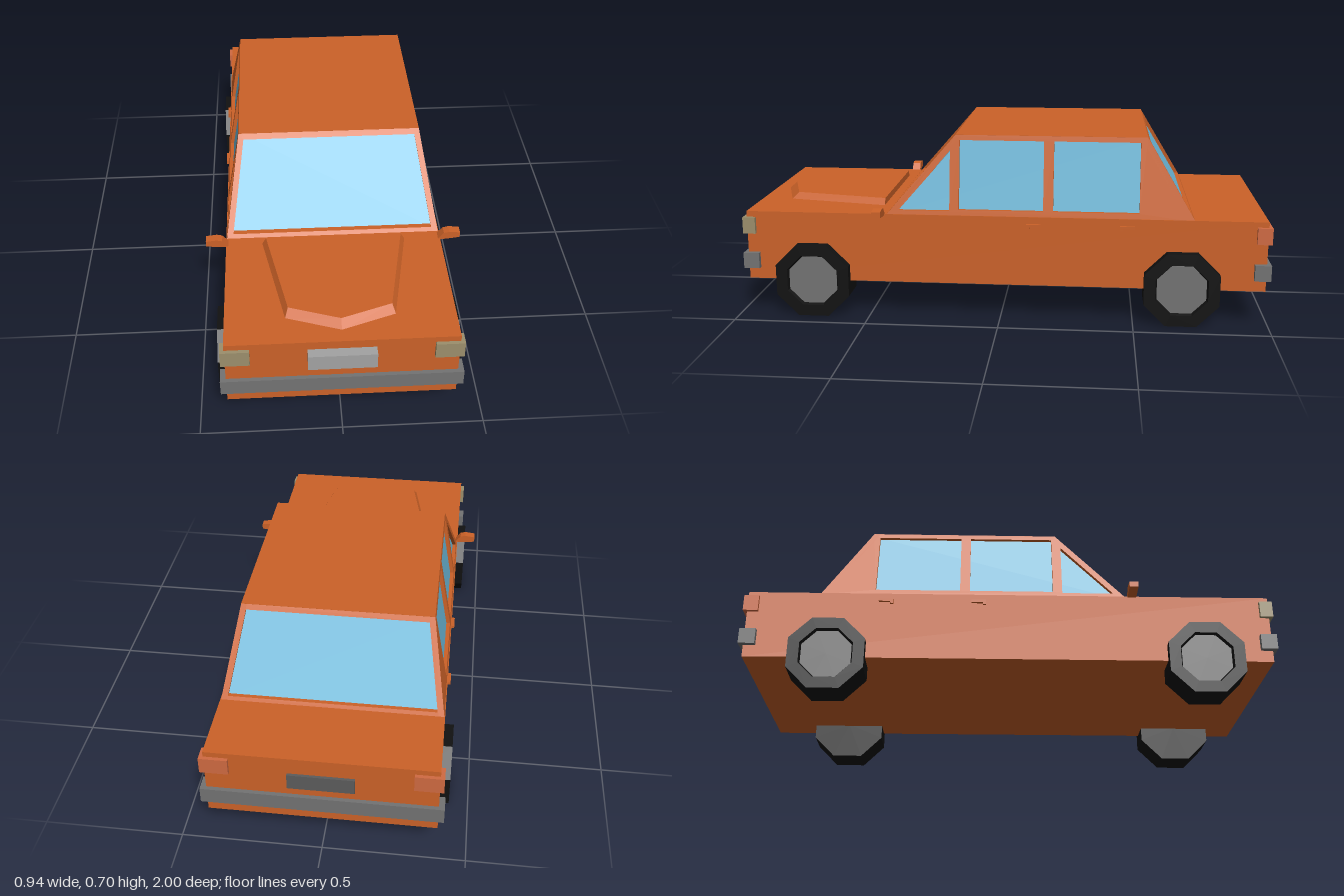
import * as THREE from 'three';

const mat = (color) => new THREE.MeshStandardMaterial({ color, flatShading: true });

export function createModel() {
  const car = new THREE.Group();
  car.name = 'car';
  const paint = mat(0xcc6228), glass = mat(0x6cb8d8), rubber = mat(0x111111), metal = mat(0x737373);
  const lampMat = mat(0x9c8f6c), plateMat = mat(0xa3a3a3), darkPlate = mat(0x5c5c5c), tailMat = mat(0xd06a42);
  glass.side = THREE.DoubleSide;

  const add = (name, geometry, material) => {
    const mesh = new THREE.Mesh(geometry, material);
    mesh.name = name;
    car.add(mesh);
    return mesh;
  };
  // Box given by its minimum and maximum corners
  const box = (name, x0, x1, y0, y1, z0, z1, material) =>
    add(name, new THREE.BoxGeometry(Math.abs(x1 - x0), y1 - y0, z1 - z0), material)
      .position.set((x0 + x1) / 2, (y0 + y1) / 2, (z0 + z1) / 2);

  const points = (list) => list.map(([x, y]) => new THREE.Vector2(x, y));
  const mirrored = (half) => [...half, ...half.map(([x, y]) => [-x, y]).reverse()];

  // Extruded outline with holes, placed by a (possibly shearing or mirroring) matrix
  const panel = (name, outline, holes, from, to, matrix, material) => {
    const shape = new THREE.Shape(points(outline));
    for (const hole of holes) shape.holes.push(new THREE.Path(points(hole)));
    const g = new THREE.ExtrudeGeometry(shape, { depth: to - from, bevelEnabled: false });
    g.translate(0, 0, from).applyMatrix4(matrix);
    if (matrix.determinant() < 0) {
      const p = g.attributes.position, a = new THREE.Vector3(), b = new THREE.Vector3();
      for (let i = 0; i < p.count; i += 3) {
        a.fromBufferAttribute(p, i + 1);
        b.fromBufferAttribute(p, i + 2);
        p.setXYZ(i + 1, b.x, b.y, b.z);
        p.setXYZ(i + 2, a.x, a.y, a.z);
      }
    }
    g.computeVertexNormals();
    return add(name, g, material);
  };

  // Lower body
  box('body', -0.397, 0.397, 0.135, 0.4, -0.985, 0.965, paint);

  // Cabin: sheared frames whose depth runs inward
  const y0 = 0.395, y1 = 0.695, h = y1 - y0;
  const sideLean = (0.395 - 0.34) / h, frontLean = 0.26 / h, rearLean = 0.18 / h;
  const sideMatrix = (s) => new THREE.Matrix4().set(
    0, -s * sideLean, -s, s * (0.395 + sideLean * y0),
    0, 1, 0, 0,
    1, 0, 0, 0,
    0, 0, 0, 1);
  const endMatrix = (z, lean, dir) => new THREE.Matrix4().set(
    1, 0, 0, 0,
    0, 1, 0, 0,
    0, -dir * lean, -dir, z + dir * lean * y0,
    0, 0, 0, 1);

  const sideOutline = [[0.43, y0], [0.17, y1], [-0.54, y1], [-0.72, y0]];
  const sideHoles = [
    [[0.408, 0.415], [0.19, 0.415], [0.19, 0.655]],
    [[0.155, 0.42], [-0.16, 0.42], [-0.16, 0.676], [0.155, 0.676]],
    [[-0.197, 0.42], [-0.515, 0.42], [-0.515, 0.676], [-0.197, 0.676]],
  ];
  const sideGlass = [[0.395, 0.4], [0.145, 0.685], [-0.52, 0.685], [-0.685, 0.4]];
  for (const s of [-1, 1]) {
    const side = s > 0 ? 'left' : 'right';
    panel(side + 'CabinSide', sideOutline, sideHoles, 0, 0.02, sideMatrix(s), paint);
    panel(side + 'SideWindows', sideGlass, [], 0.014, 0.018, sideMatrix(s), glass);
  }

  const endOutline = mirrored([[0.395, y0], [0.34, y1]]);
  const endHole = mirrored([[0.37, 0.412], [0.322, 0.678]]);
  const endGlass = mirrored([[0.38, 0.4], [0.328, 0.686]]);
  const front = endMatrix(0.43, frontLean, 1), rear = endMatrix(-0.72, rearLean, -1);
  panel('windscreenFrame', endOutline, [endHole], 0, 0.03, front, paint);
  panel('windscreen', endGlass, [], 0.02, 0.025, front, glass);
  panel('rearWindowFrame', endOutline, [endHole], 0, 0.025, rear, paint);
  panel('rearWindow', endGlass, [], 0.015, 0.02, rear, glass);
  box('roof', -0.34, 0.34, 0.682, 0.6955, -0.54, 0.17, paint);

  // Raised bonnet panel, its top narrowed toward the windscreen
  const flat = new THREE.Matrix4().set(
    1, 0, 0, 0,
    0, 0, 1, 0,
    0, 1, 0, 0,
    0, 0, 0, 1);
  const bonnet = panel('bonnetPanel', mirrored([[0.265, 0.46], [0.19, 0.85], [0, 0.915]].slice(0, 2))
    .toSpliced(2, 0, [0, 0.915]), [], 0.398, 0.425, flat, paint);
  const bp = bonnet.geometry.attributes.position;
  for (let i = 0; i < bp.count; i++) {
    if (bp.getY(i) > 0.42) bp.setXYZ(i, bp.getX(i) * 0.94, bp.getY(i), 0.46 + (bp.getZ(i) - 0.46) * 0.93);
  }
  bonnet.geometry.computeVertexNormals();

  // Wheels: eight-sided tyre with a recessed hub
  const tyreProfile = points([[0, -0.0625], [0.151, -0.0625], [0.151, 0.0625], [0.105, 0.0625], [0.098, 0.045]]);
  for (const s of [-1, 1]) {
    for (const [end, z] of [['front', 0.713], ['rear', -0.677]]) {
      const wheel = new THREE.Group();
      wheel.name = end + (s > 0 ? 'Left' : 'Right') + 'Wheel';
      const tyre = new THREE.Mesh(new THREE.LatheGeometry(tyreProfile, 8, Math.PI / 8), rubber);
      tyre.name = 'tyre';
      const hub = new THREE.Mesh(new THREE.CylinderGeometry(0.099, 0.099, 0.05, 8, 1, false, Math.PI / 8), metal);
      hub.name = 'hub';
      hub.position.y = 0.025;
      wheel.add(tyre, hub);
      wheel.rotation.z = -s * Math.PI / 2;
      wheel.position.set(s * 0.3675, 0.14, z);
      car.add(wheel);
    }
  }

  // Bumpers and plates
  box('frontBumper', -0.417, 0.417, 0.18, 0.24, 0.92, 0.98, metal);
  box('rearBumper', -0.417, 0.417, 0.18, 0.24, -1, -0.94, metal);
  box('frontPlate', -0.118, 0.115, 0.305, 0.367, 0.95, 1, plateMat);
  box('rearPlate', -0.115, 0.115, 0.275, 0.335, -0.995, -0.97, darkPlate);

  // Paired lamps, door handles and wing mirrors
  const mirrorOutline = [[0.385, 0.395], [0.42, 0.397], [0.47, 0.403], [0.47, 0.425], [0.43, 0.43], [0.41, 0.425]];
  for (const s of [-1, 1]) {
    const side = s > 0 ? 'left' : 'right';
    box(side + 'Headlight', s * 0.312, s * 0.411, 0.315, 0.378, 0.93, 0.978, lampMat);
    box(side + 'TailLight', s * 0.312, s * 0.411, 0.318, 0.38, -0.998, -0.943, tailMat);
    for (const z of [-0.125, -0.472]) {
      box(side + 'DoorHandle', s * 0.39, s * 0.408, 0.364, 0.374, z - 0.027, z + 0.027, paint);
      box(side + 'HandleFoot', s * 0.39, s * 0.408, 0.356, 0.366, z + 0.015, z + 0.027, paint);
    }
    panel(side + 'WingMirror', mirrorOutline, [], 0.435, 0.468, new THREE.Matrix4().makeScale(s, 1, 1), paint);
  }
  return car;
}
